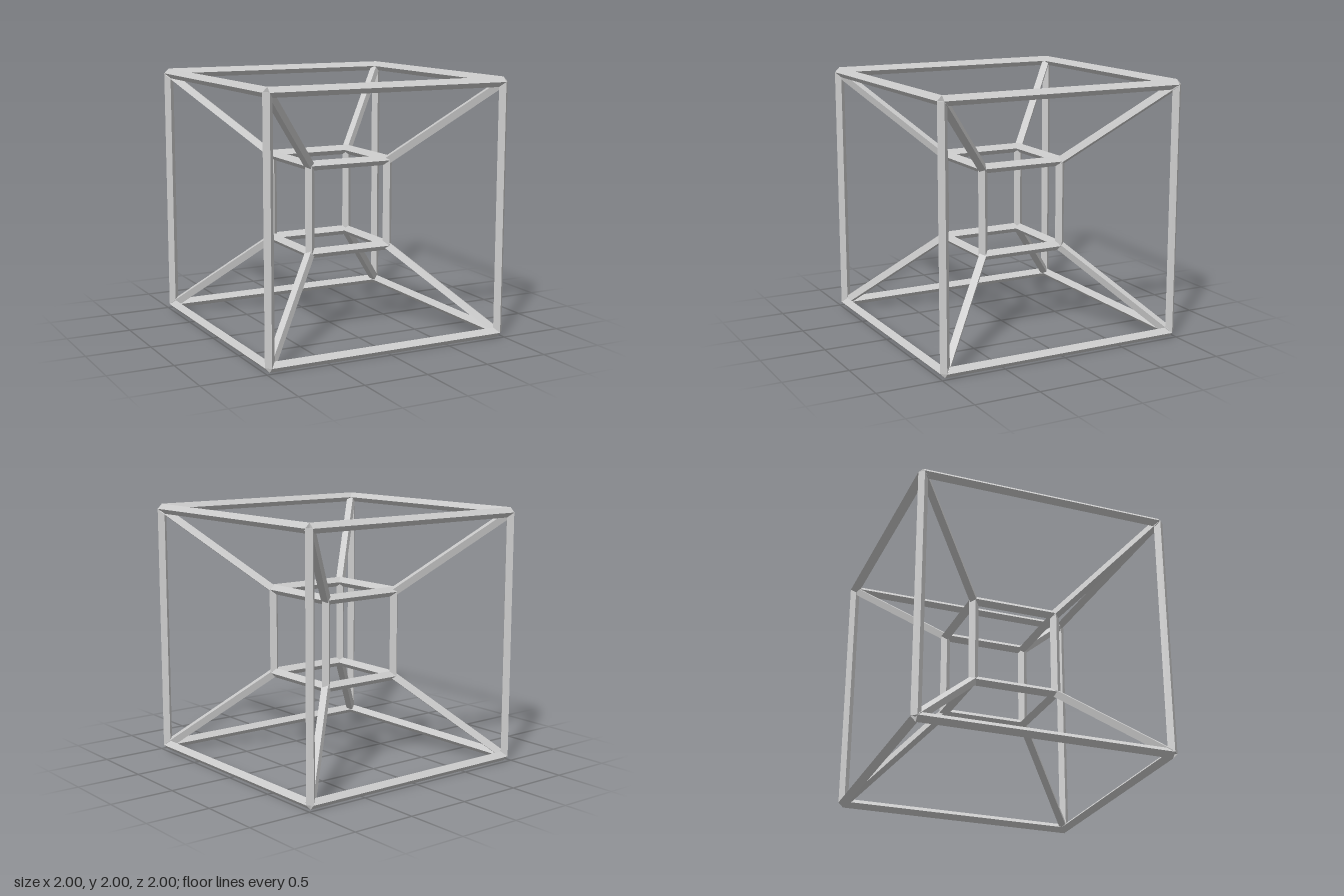
import * as THREE from 'three';

const RADIUS = 0.0385; // half diagonal of the square bars
const OUTER = 0.9615; // half size of the outer cube, along bar centres
const INNER = 0.336; // half size of the inner cube

const material = new THREE.MeshStandardMaterial({ color: 0xcccccc, flatShading: true });

// Square bar from a to b, with one edge turned towards the x axis
function bar(name, a, b) {
  const dir = b.clone().sub(a);
  const length = dir.length();
  dir.normalize();
  const hint = Math.abs(dir.x) > 0.99 ? new THREE.Vector3(0, 1, 0) : new THREE.Vector3(1, 0, 0);
  const side = hint.addScaledVector(dir, -hint.dot(dir)).normalize();
  const third = new THREE.Vector3().crossVectors(side, dir);

  const mesh = new THREE.Mesh(new THREE.CylinderGeometry(RADIUS, RADIUS, length, 4), material);
  mesh.name = name;
  mesh.quaternion.setFromRotationMatrix(new THREE.Matrix4().makeBasis(side, dir, third));
  mesh.position.copy(a).add(b).multiplyScalar(0.5);
  return mesh;
}

// Twelve edges of a cube: four parallel bars along each axis
function cubeFrame(name, half) {
  const frame = new THREE.Group();
  frame.name = name;
  for (let axis = 0; axis < 3; axis++) {
    for (const s of [-half, half]) {
      for (const t of [-half, half]) {
        const a = new THREE.Vector3();
        a.setComponent(axis, -half);
        a.setComponent((axis + 1) % 3, s);
        a.setComponent((axis + 2) % 3, t);
        const b = a.clone().setComponent(axis, half);
        frame.add(bar(name + 'Edge', a, b));
      }
    }
  }
  return frame;
}

export function createModel() {
  const model = new THREE.Group();
  model.name = 'nestedCubeFrame';
  model.add(cubeFrame('outerCube', OUTER), cubeFrame('innerCube', INNER));

  // Diagonal struts joining matching corners of the two cubes
  const struts = new THREE.Group();
  struts.name = 'cornerStruts';
  for (const x of [-1, 1]) {
    for (const y of [-1, 1]) {
      for (const z of [-1, 1]) {
        const corner = new THREE.Vector3(x, y, z);
        struts.add(bar('cornerStrut', corner.clone().multiplyScalar(INNER), corner.clone().multiplyScalar(OUTER)));
      }
    }
  }
  model.add(struts);

  model.position.y = 1;
  return model;
}
